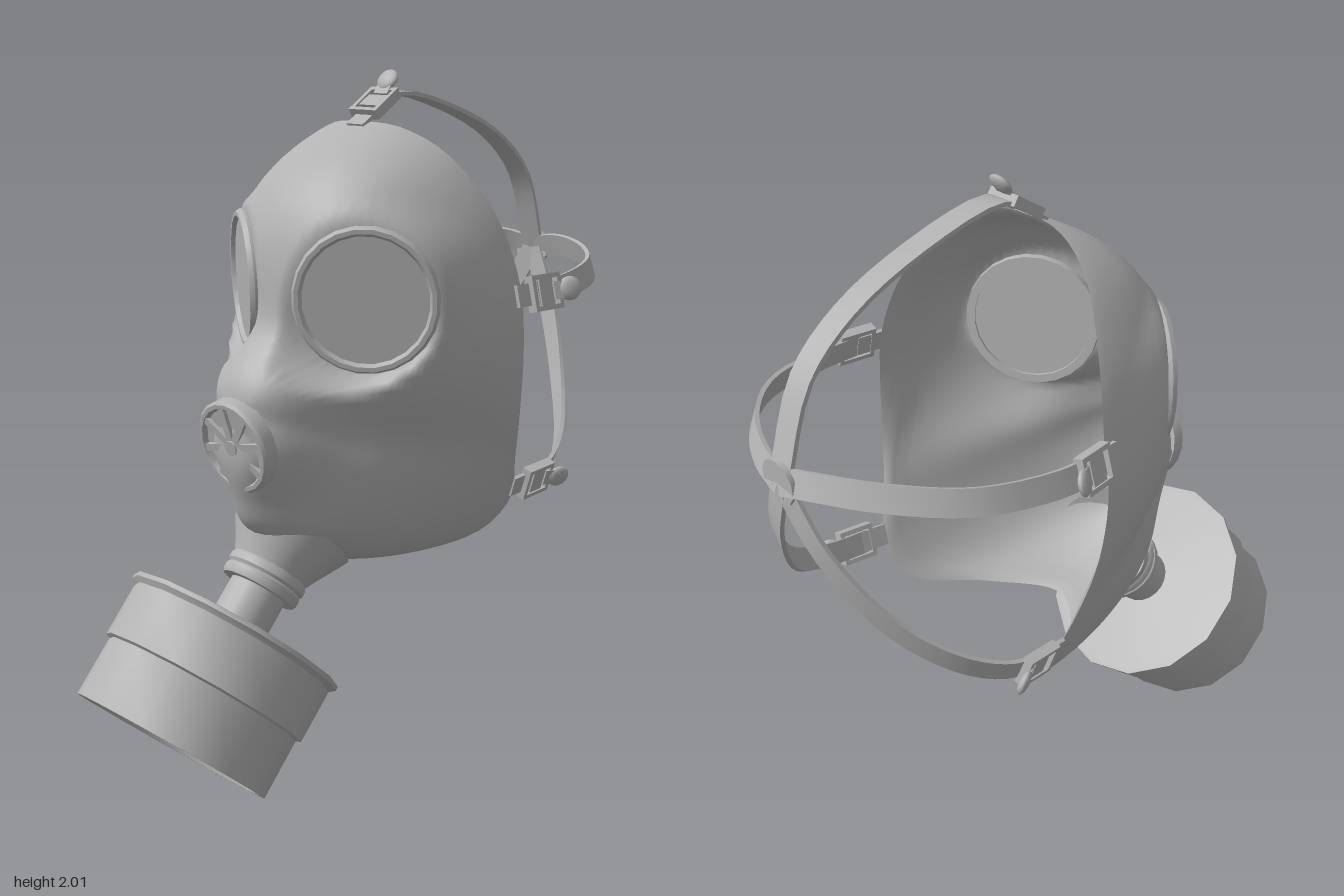
import * as THREE from 'three';
import { toCreasedNormals } from 'three/addons/utils/BufferGeometryUtils.js';

const V = (x, y, z) => new THREE.Vector3(x, y, z);
const rubber = new THREE.MeshStandardMaterial({ color: 0xb2b2b2, side: THREE.DoubleSide });
rubber.name = 'grey';

const EYE = V(0.23, 1.405, 0.217);
const EYE_NORMAL = V(0.563, -0.09, 0.82).normalize();
const HEAD = V(0, 1.3, -0.3);
const FACE_Y = 1.1;

function mesh(name, geometry, parent) {
  const m = new THREE.Mesh(geometry, rubber);
  m.name = name;
  parent.add(m);
  return m;
}

function lathe(points, sides, crease = 0.6) {
  const g = new THREE.LatheGeometry(points.map(p => new THREE.Vector2(p[0], p[1])), sides);
  return toCreasedNormals(g, crease);
}

function smooth(a, b, t) {
  const k = Math.min(1, Math.max(0, (t - a) / (b - a)));
  return k * k * (3 - 2 * k);
}

// Direction away from the head; nearly level below its middle
function outward(p) {
  const d = p.clone().sub(HEAD);
  if (d.y < 0) d.y *= 0.25;
  return d;
}

// Surface through rows of equal length; each row closes on itself
function loft(rows) {
  const cols = rows[0].length, index = [];
  for (let i = 0; i < rows.length - 1; i++) for (let j = 0; j < cols; j++) {
    const a = i * cols + j, b = i * cols + (j + 1) % cols;
    index.push(a, a + cols, b, b, a + cols, b + cols);
  }
  const g = new THREE.BufferGeometry().setFromPoints(rows.flat());
  g.setIndex(index);
  g.computeVertexNormals();
  return g;
}

// Rim of the face opening
function rimLoop() {
  const half = [[0.13, 1.85, 0], [0.26, 1.785, -0.05], [0.375, 1.63, -0.13], [0.435, 1.45, -0.18],
    [0.455, 1.3, -0.19], [0.44, 1.1, -0.22], [0.4, 0.93, -0.27], [0.36, 0.8, -0.32],
    [0.3, 0.695, -0.27], [0.18, 0.63, -0.08]];
  const rim = [V(0, 1.86, 0.02), ...half.map(p => V(...p)), V(0, 0.61, 0.05),
    ...half.slice().reverse().map(p => V(-p[0], p[1], p[2]))];
  return new THREE.CatmullRomCurve3(rim, true).getSpacedPoints(96).slice(0, 96);
}

// Point of the domed face: rim point r drawn inwards by s, with snout, chin and flat eye seats
function facePoint(r, s) {
  const c = (r.y - FACE_Y) / Math.hypot(r.x, r.y - FACE_Y), c2 = c * c;
  const power = 2 + (c > 0 ? 3 : 2) * c2;
  const fall = 0.5 + (c > 0 ? 0.5 * c2 ** 3 : 0.2 * c2 * (1 - c2)) + 0.2 * Math.exp(-(((c + 0.25) / 0.28) ** 2));
  const x = r.x * s, y = FACE_Y + (r.y - FACE_Y) * s, fade = 1 - s ** 10;
  let z = r.z + (0.35 - r.z) * Math.pow(Math.max(0, 1 - s ** power), fall);
  z += 0.12 * Math.exp(-((Math.hypot(x, (y - 1.045) / 1.15) / 0.185) ** 4)) * fade;
  z += 0.08 * Math.exp(-(Math.hypot(x / 0.15, (y - 0.76) / 0.1) ** 2)) * fade;
  const side = x < 0 ? -1 : 1, dx = x - side * EYE.x, dy = y - EYE.y;
  const plane = EYE.z - (EYE_NORMAL.x * side * dx + EYE_NORMAL.y * dy) / EYE_NORMAL.z;
  const d = Math.hypot(dx, dy, plane - EYE.z);
  z += (plane - z) * (1 - smooth(0.195, 0.25, d)) * (1 - s ** 24);
  return V(x, y, z);
}

// Flat strap following a curve round the head
function strapGeometry(points, width) {
  const curve = new THREE.CatmullRomCurve3(points), n = 20, rows = [];
  for (let i = 0; i <= n; i++) {
    const p = curve.getPoint(i / n), t = curve.getTangent(i / n);
    const across = t.clone().cross(outward(p)).normalize();
    const out = across.clone().cross(t).normalize();
    rows.push([[-1, -1], [1, -1], [1, 1], [-1, 1]].map(([a, b]) =>
      p.clone().addScaledVector(across, a * width / 2).addScaledVector(out, b * 0.006)));
  }
  return toCreasedNormals(loft(rows), 0.5);
}

// Buckle: frame, plate, tab to the shell and a lever with a round tip
function addBuckle(name, parent, at, along) {
  const b = new THREE.Group();
  b.name = name;
  parent.add(b);
  const x = along.clone().normalize();
  const y = outward(at).cross(x).normalize();
  const z = x.clone().cross(y);
  b.quaternion.setFromRotationMatrix(new THREE.Matrix4().makeBasis(x, y, z));
  b.position.copy(at);
  const frame = new THREE.Shape([[-0.055, -0.05], [0.055, -0.05], [0.055, 0.05], [-0.055, 0.05]]
    .map(p => new THREE.Vector2(...p)));
  frame.holes.push(new THREE.Path([[-0.042, -0.037], [-0.042, 0.037], [0.042, 0.037], [0.042, -0.037]]
    .map(p => new THREE.Vector2(...p))));
  mesh('buckleFrame', new THREE.ExtrudeGeometry(frame, { depth: 0.03, bevelEnabled: false }), b)
    .position.z = -0.008;
  mesh('bucklePlate', new THREE.BoxGeometry(0.05, 0.076, 0.014), b).position.z = 0.01;
  mesh('buckleTab', new THREE.BoxGeometry(0.1, 0.062, 0.012), b).position.x = -0.05;
  const lever = mesh('buckleLever', new THREE.BoxGeometry(0.05, 0.05, 0.012), b);
  lever.position.set(0.056, 0, 0.022);
  lever.rotation.y = -0.4;
  const tip = mesh('leverTip', new THREE.SphereGeometry(0.034, 12, 8), b);
  tip.scale.z = 0.4;
  tip.rotation.y = -0.4;
  tip.position.set(0.076, 0, 0.032);
}

export function createModel() {
  const model = new THREE.Group();
  model.name = 'gasMask';
  model.rotation.y = -20 * Math.PI / 180;
  const tilt = new THREE.Group();
  tilt.name = 'tiltedMask';
  tilt.position.y = 1.4;
  tilt.rotation.z = -4 * Math.PI / 180;
  model.add(tilt);
  const mask = new THREE.Group();
  mask.name = 'mask';
  mask.position.y = -1.4;
  tilt.add(mask);

  // Face shell, and a narrow seal lining the inside of its rim
  const rim = rimLoop(), shellRows = [], sealRows = [rim];
  for (let i = 0; i < 44; i++) {
    const s = Math.sin((i / 43) * Math.PI / 2);
    shellRows.push(rim.map(r => facePoint(r, s)));
  }
  mesh('faceShell', loft(shellRows), mask);
  for (let i = 1; i <= 4; i++) sealRows.push(rim.map(r => {
    const width = 0.025 + 0.1 * Math.max(0, (r.y - FACE_Y) / 0.76) ** 4;
    const p = facePoint(r, 1 - width * (i / 4) ** 2);
    return V(p.x * 0.975, FACE_Y + (p.y - FACE_Y) * 0.98, p.z);
  }));
  mesh('faceSeal', loft(sealRows), mask);

  // Eyepieces, showing on both faces of the shell
  const upward = V(0, 1, 0);
  for (const side of [-1, 1]) {
    const eye = new THREE.Group();
    eye.name = side > 0 ? 'leftEyepiece' : 'rightEyepiece';
    eye.position.set(side * EYE.x, EYE.y, EYE.z);
    eye.quaternion.setFromUnitVectors(upward, V(side * EYE_NORMAL.x, EYE_NORMAL.y, EYE_NORMAL.z));
    mask.add(eye);
    mesh('eyeRing', lathe([[0.172, -0.02], [0.196, -0.02], [0.2, 0.008], [0.192, 0.022], [0.18, 0.022],
      [0.172, 0.01], [0.172, -0.02]], 24), eye);
    mesh('lens', new THREE.CylinderGeometry(0.175, 0.175, 0.02, 24), eye);
  }

  // Spoked outlet valve set into the snout
  const valve = new THREE.Group();
  valve.name = 'outletValve';
  valve.position.set(0, 0.995, 0.455);
  valve.rotation.x = Math.PI / 2 + 0.25;
  mask.add(valve);
  mesh('valveRing', lathe([[0.108, -0.03], [0.134, -0.03], [0.134, 0.008], [0.126, 0.016], [0.115, 0.016],
    [0.108, 0.005], [0.108, -0.03]], 20), valve);
  mesh('valvePlate', new THREE.CylinderGeometry(0.12, 0.12, 0.03, 20), valve).position.y = -0.013;
  mesh('valveHub', new THREE.CylinderGeometry(0.022, 0.022, 0.03, 12), valve).position.y = 0.004;
  for (let i = 0; i < 8; i++) {
    const a = i * Math.PI / 4 + 0.2;
    const spoke = mesh('valveSpoke', new THREE.BoxGeometry(0.1, 0.018, 0.022), valve);
    spoke.position.set(Math.cos(a) * 0.065, 0.004, -Math.sin(a) * 0.065);
    spoke.rotation.y = a;
  }

  // Filter canister and neck, turned about one slanting axis
  const filter = new THREE.Group();
  filter.name = 'filter';
  filter.position.set(-0.012, 0.455, 0.422);
  filter.quaternion.setFromUnitVectors(upward, V(0, 0.772, -0.634).normalize());
  mask.add(filter);
  mesh('canister', lathe([[0.05, -0.32], [0.05, -0.335], [0.272, -0.346], [0.28, -0.358], [0.294, -0.358],
    [0.295, -0.185], [0.309, -0.18], [0.311, -0.025], [0.327, -0.012], [0.327, 0], [0.31, 0.003],
    [0.08, 0.012]], 14), filter);
  mesh('canisterPlug', new THREE.CylinderGeometry(0.055, 0.055, 0.01, 14), filter).position.y = -0.32;
  mesh('neckTube', new THREE.CylinderGeometry(0.085, 0.085, 0.18, 20, 1, true), filter).position.y = 0.08;
  mesh('neckCollar', lathe([[0.08, 0.13], [0.112, 0.13], [0.117, 0.14], [0.117, 0.158], [0.112, 0.164],
    [0.119, 0.172], [0.119, 0.19], [0.113, 0.2]], 24), filter);
  mesh('chinCone', lathe([[0.113, 0.195], [0.128, 0.225], [0.157, 0.275], [0.185, 0.325]], 28), filter);

  // Head harness: five straps meeting at a pad behind the head
  const pad = V(0, 1.475, -0.835);
  mesh('topStrap', strapGeometry([V(0, 1.895, -0.02), V(0, 1.94, -0.1), V(0, 1.905, -0.36), V(0, 1.825, -0.585),
    V(0, 1.71, -0.73), pad], 0.075), mask);
  addBuckle('topBuckle', mask, V(0, 1.905, -0.035), V(0, 0.1, -0.14));
  for (const s of [-1, 1]) {
    const label = s > 0 ? 'left' : 'right';
    mesh(label + 'UpperStrap', strapGeometry([V(s * 0.465, 1.425, -0.22), V(s * 0.46, 1.435, -0.36),
      V(s * 0.4, 1.465, -0.57), V(s * 0.26, 1.49, -0.725), V(s * 0.1, 1.495, -0.815), pad], 0.07), mask);
    mesh(label + 'LowerStrap', strapGeometry([V(s * 0.38, 0.845, -0.37), V(s * 0.37, 0.87, -0.48),
      V(s * 0.32, 0.94, -0.6), V(s * 0.22, 1.07, -0.72), V(s * 0.1, 1.28, -0.81), pad], 0.065), mask);
    addBuckle(label + 'UpperBuckle', mask, V(s * 0.463, 1.425, -0.25), V(s * 0.02, 0.01, -0.15));
    addBuckle(label + 'LowerBuckle', mask, V(s * 0.38, 0.85, -0.4), V(s * 0.01, 0.02, -0.15));
  }
  const padMesh = mesh('rearPad', new THREE.CylinderGeometry(0.062, 0.062, 0.014, 10), mask);
  padMesh.position.copy(pad);
  padMesh.rotation.x = Math.PI / 2;
  return model;
}
